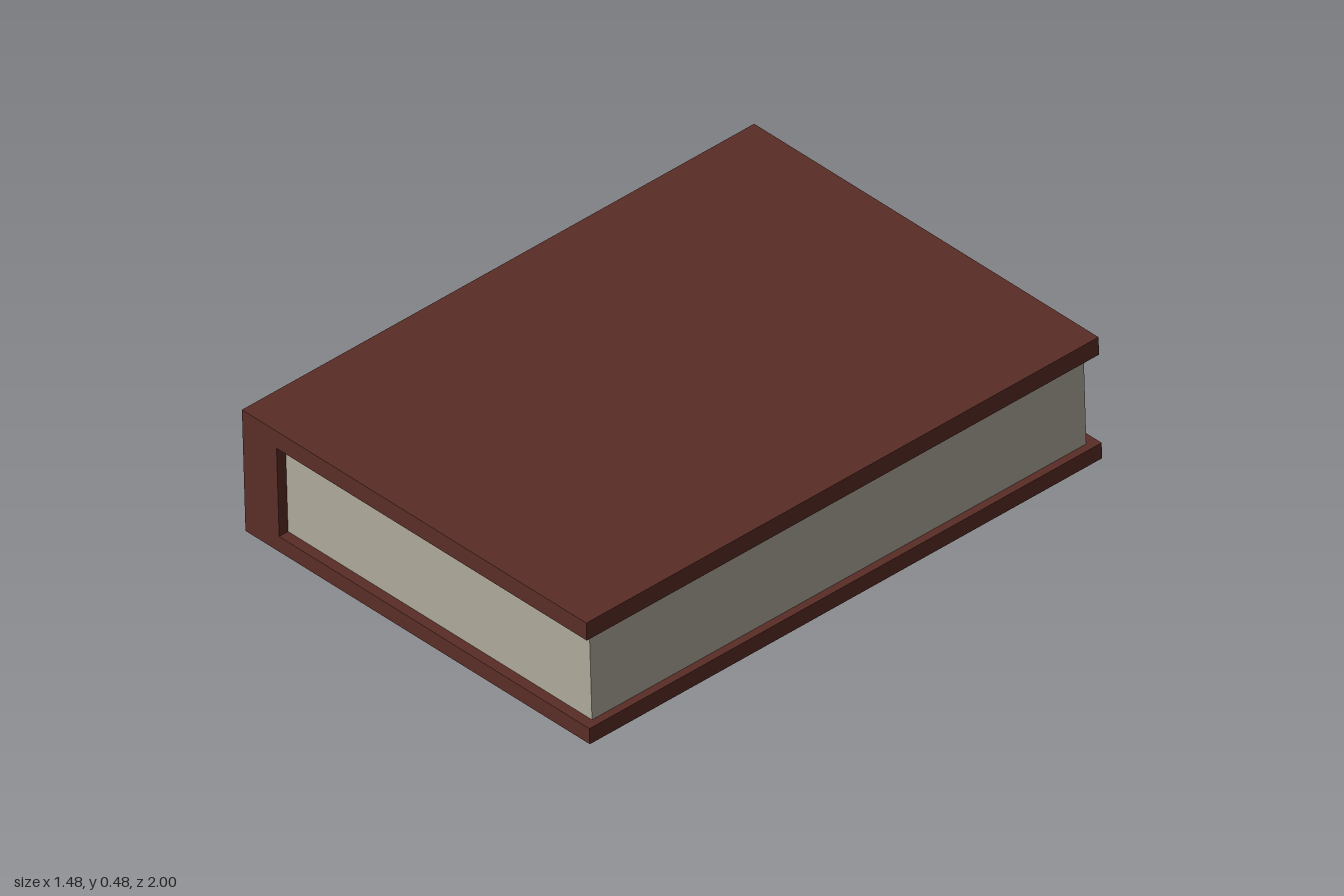
import * as THREE from 'three';

export function createModel() {
  const model = new THREE.Group();
  model.name = 'book';
  const leather = new THREE.MeshStandardMaterial({ color: 0x5a2d26 });
  const paper = new THREE.MeshStandardMaterial({ color: 0xb0aa9c });

  // The whole book leans slightly, pivoting on the lower edge of its spine
  const book = new THREE.Group();
  book.name = 'tiltedBook';
  book.position.set(-0.725, 0, 0);
  book.rotation.z = THREE.MathUtils.degToRad(2.02);
  model.add(book);

  // Box given by its x and y ranges and its depth along z
  function block(name, x0, x1, y0, y1, depth, material) {
    const mesh = new THREE.Mesh(new THREE.BoxGeometry(x1 - x0, y1 - y0, depth), material);
    mesh.name = name;
    mesh.position.set((x0 + x1) / 2, (y0 + y1) / 2, 0);
    book.add(mesh);
  }

  const width = 1.464, height = 0.43, board = 0.058, spine = 0.145;
  block('spine', 0, spine, 0, height, 2, leather);
  block('bottomCover', spine, width, 0, board - 0.003, 2, leather);
  block('topCover', spine, width, height - board - 0.004, height, 2, leather);
  // Pages sit back from the cover edges on three sides
  block('pages', spine, 1.437, board - 0.003, height - board - 0.004, 1.93, paper);

  return model;
}
